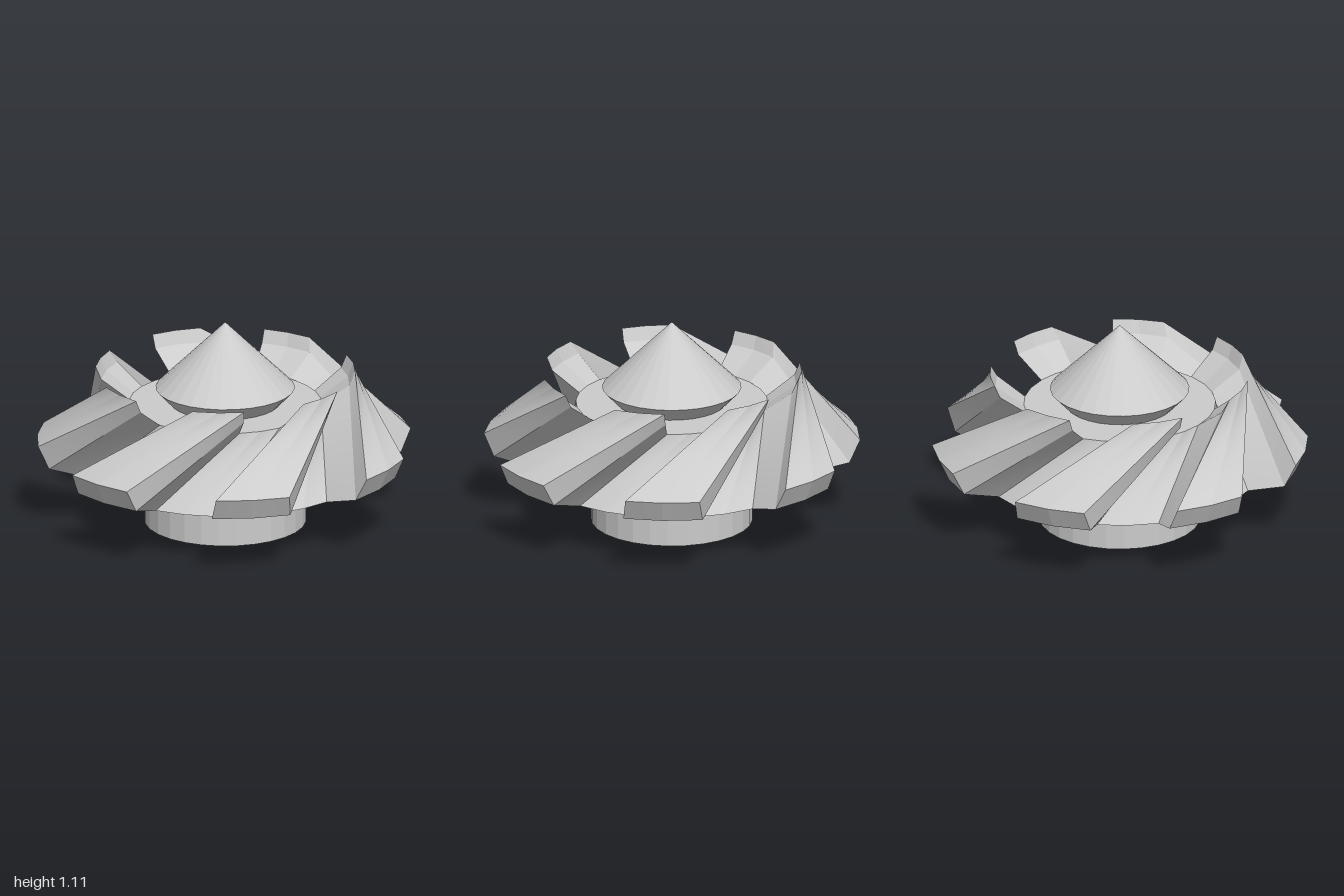
import * as THREE from 'three';

const BLADES = 7, SIDES = 28, ROWS = 8;
const STEP = (Math.PI * 2) / SIDES;      // one hub facet
const TWIST = 3 * STEP;                  // turn of the top against the bottom
const INSET = 11.4 * Math.PI / 180;      // blade outer face is slightly narrower

// Section of a blade: radius, height, twist, angle between columns
const SECTION = [
  [0.735, 0.272, 0, STEP],               // root at hub bottom
  [0.945, 0.332, 0, STEP],
  [1.0, 0.452, 0, INSET],                // outer rim
  [0.69, 0.84, TWIST + 0.02, INSET],     // top edge
  [0.66, 0.77, TWIST, STEP],
  [0.51, 0.66, TWIST, STEP],             // root at hub top
];

// Point i of the section, in column j (-1, 0, 1 across a blade)
function point(i, j) {
  const [r, y, twist, spread] = SECTION[i];
  const a = twist + j * spread;
  return new THREE.Vector3(r * Math.sin(a), y, r * Math.cos(a));
}

// Ruled patches, each a smooth grid between four corners
function patchGeometry(quads) {
  const pos = [], index = [];
  for (const [a, b, c, d] of quads) {
    const base = pos.length / 3;
    for (let v = 0; v <= ROWS; v++) {
      const left = a.clone().lerp(d, v / ROWS), right = b.clone().lerp(c, v / ROWS);
      for (let u = 0; u <= ROWS; u++) {
        pos.push(...left.clone().lerp(right, u / ROWS).toArray());
        if (u === ROWS || v === ROWS) continue;
        const k = base + v * (ROWS + 1) + u, up = k + ROWS + 1;
        index.push(k, k + 1, up, k + 1, up + 1, up);
      }
    }
  }
  const g = new THREE.BufferGeometry();
  g.setAttribute('position', new THREE.Float32BufferAttribute(pos, 3));
  g.setIndex(index);
  g.computeVertexNormals();
  return g;
}

function bladeGeometry() {
  const quads = [];
  for (let j = -1; j < 1; j++)
    for (let i = 0; i < SECTION.length - 1; i++)
      quads.push([point(i, j), point(i, j + 1), point(i + 1, j + 1), point(i + 1, j)]);
  // side walls: root part, then the narrow strip along the outer edge
  for (const [a, b, c, d] of [[0, 1, 4, 5], [1, 2, 3, 4]]) {
    quads.push([a, b, c, d].map(i => point(i, -1)));
    quads.push([b, a, d, c].map(i => point(i, 1)));
  }
  return patchGeometry(quads);
}

// Twisted hub wall left open between two blades
function hubWallGeometry() {
  return patchGeometry([1, 2].map(j => [point(0, j), point(0, j + 1), point(5, j + 1), point(5, j)]));
}

export function createModel() {
  const model = new THREE.Group();
  model.name = 'impeller';
  // the hub is hollow and open below, so inner faces show
  const smooth = new THREE.MeshStandardMaterial({ color: 0xcccccc, side: THREE.DoubleSide });
  const flat = new THREE.MeshStandardMaterial({ color: 0xcccccc, flatShading: true, side: THREE.DoubleSide });

  const add = (name, geometry, material, y = 0) => {
    const mesh = new THREE.Mesh(geometry, material);
    mesh.name = name;
    mesh.position.set(0.015, y, 0);
    model.add(mesh);
    return mesh;
  };

  // Blades and the hub walls between them
  const blade = bladeGeometry(), wall = hubWallGeometry();
  for (let k = 0; k < BLADES; k++) {
    const turn = (k * 4 + 1) * STEP;
    add('blade', blade, smooth).rotation.y = turn;
    add('hubWall', wall, smooth).rotation.y = turn;
  }

  // Hub end faces
  add('hubTop', new THREE.RingGeometry(0.29, 0.51, SIDES).rotateX(-Math.PI / 2), flat, 0.66);
  add('hubBottom', new THREE.RingGeometry(0.43, 0.735, SIDES).rotateX(Math.PI / 2), flat, 0.272);

  // Open collar below the hub
  add('collar', new THREE.CylinderGeometry(0.43, 0.43, 0.272, SIDES, 1, true), flat, 0.136);

  // Nose cone on its tapered neck
  add('noseNeck', new THREE.CylinderGeometry(0.37, 0.29, 0.085, SIDES, 1, true), flat, 0.7025);
  add('noseCone', new THREE.ConeGeometry(0.37, 0.365, SIDES, 1, true), flat, 0.9275);

  return model;
}
